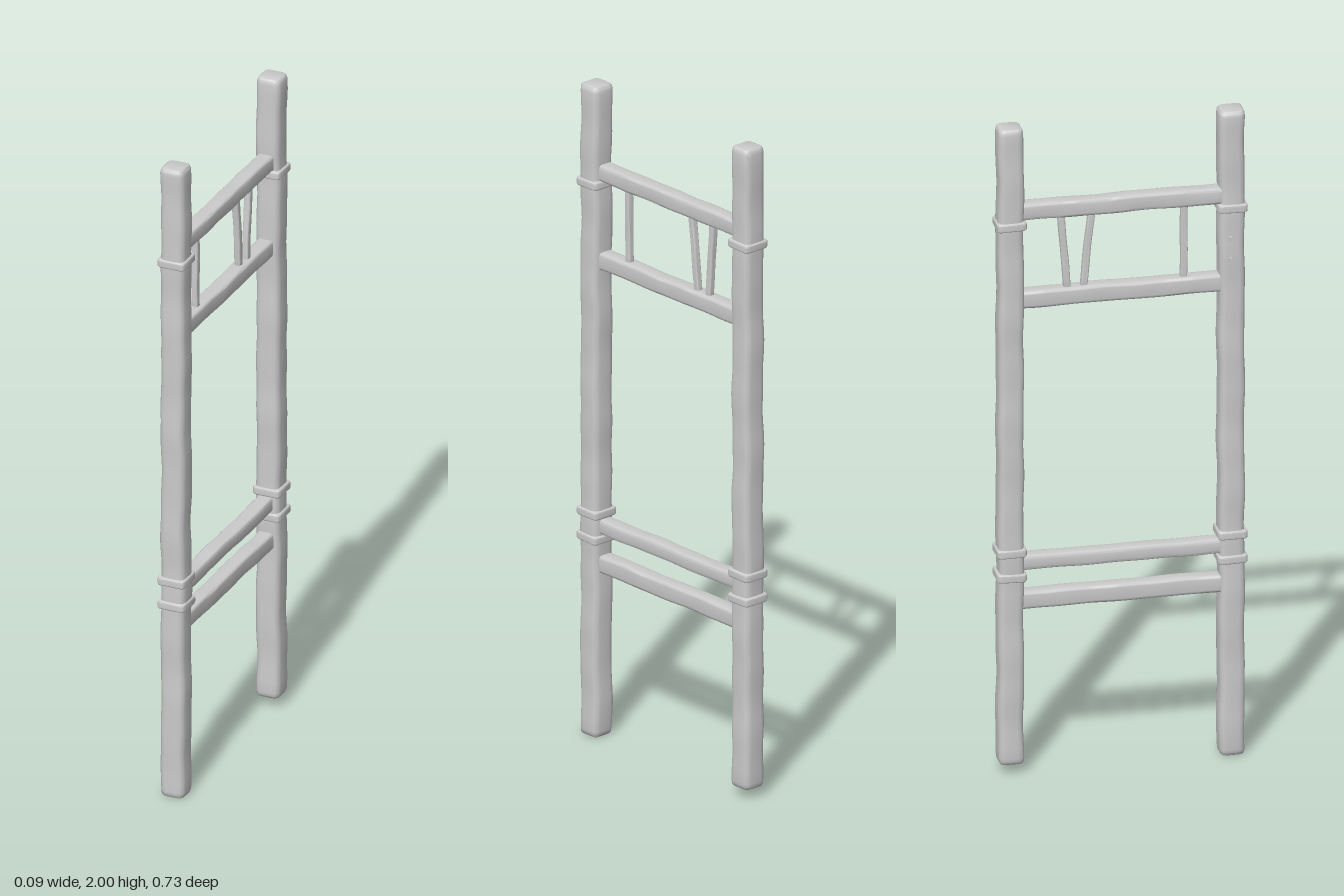
import * as THREE from 'three';
import { mergeVertices, toCreasedNormals } from 'three/addons/utils/BufferGeometryUtils.js';

const material = new THREE.MeshStandardMaterial({ color: 0xcccccc, roughness: 0.9 });

// Rounded rectangle centred on the origin
function roundedSection(w, h, r) {
  const s = new THREE.Shape();
  const x = w / 2, y = h / 2;
  s.moveTo(-x + r, -y);
  s.lineTo(x - r, -y).quadraticCurveTo(x, -y, x, -y + r);
  s.lineTo(x, y - r).quadraticCurveTo(x, y, x - r, y);
  s.lineTo(-x + r, y).quadraticCurveTo(-x, y, -x, y - r);
  s.lineTo(-x, -y + r).quadraticCurveTo(-x, -y, -x + r, -y);
  return s;
}

// Hand-hewn timber along z, centred, with worn ends and slightly wavy faces
function timber(w, h, length, { radius = 0.012, bevel = 0.008, end = 0.015, steps = 30, wear = 0.0015, seed = 0 } = {}) {
  let geo = new THREE.ExtrudeGeometry(roundedSection(w - 2 * bevel, h - 2 * bevel, radius), {
    depth: length - 2 * end, steps, curveSegments: 3,
    bevelEnabled: true, bevelSize: bevel, bevelThickness: end, bevelSegments: 3,
  });
  geo.translate(0, 0, end - length / 2);
  geo.deleteAttribute('uv');
  geo.deleteAttribute('normal');
  geo = mergeVertices(geo, 1e-5);
  const p = geo.attributes.position;
  for (let i = 0; i < p.count; i++) {
    const x = p.getX(i), y = p.getY(i), z = p.getZ(i);
    const a = Math.sin(z * 17 + seed) + 0.6 * Math.sin(z * 43 + x * 60 + seed * 2.3);
    const b = Math.sin(z * 21 + seed * 1.7) + 0.6 * Math.sin(z * 37 + y * 60 + seed);
    p.setXYZ(i, x + wear * a * 0.7, y + wear * b * 0.7, z);
  }
  return toCreasedNormals(geo, 0.7);
}

function addPart(group, name, geo, x, y, z) {
  const mesh = new THREE.Mesh(geo, material);
  mesh.name = name;
  mesh.position.set(x, y, z);
  group.add(mesh);
  return mesh;
}

export function createModel() {
  const model = new THREE.Group();
  model.name = 'timberFrame';

  // Two square posts, the back one a little shorter at the foot
  const posts = [
    { name: 'front', z: 0.323, bottom: 0, seed: 1 },
    { name: 'back', z: -0.323, bottom: 0.03, seed: 4 },
  ];
  for (const { name, z, bottom, seed } of posts) {
    const length = 2 - bottom;
    const geo = timber(0.074, 0.074, length, { end: 0.018, steps: 60, wear: 0.002, seed });
    geo.rotateX(-Math.PI / 2);
    addPart(model, name + 'Post', geo, 0, bottom + length / 2, z);

    // Bands wrapped around each post
    [1.7, 0.686, 0.61].forEach((y, i) => {
      const band = timber(0.087, 0.087, 0.026, { radius: 0.006, bevel: 0.007, end: 0.008, steps: 1, wear: 0.0005, seed: i });
      band.rotateX(-Math.PI / 2);
      const mesh = addPart(model, name + 'Band', band, 0, y, z);
      mesh.rotation.x = 0.03 * Math.sin(i * 2 + seed);
    });
  }

  // Horizontal rails: [centre height, thickness]
  const rails = [[1.737, 0.05], [1.466, 0.052], [0.649, 0.044], [0.533, 0.053]];
  rails.forEach(([y, h], i) => {
    addPart(model, 'rail', timber(0.048, h, 0.61, { radius: 0.006, bevel: 0.004, end: 0.006, wear: 0.0012, seed: i * 2 }), -0.003, y, 0);
  });

  // Thin spindles between the upper rails: [bottom z, top z]
  const spindles = [[0.184, 0.187], [-0.109, -0.084], [-0.156, -0.174]];
  spindles.forEach(([z0, z1], i) => {
    const from = new THREE.Vector3(-0.003, 1.48, z0), to = new THREE.Vector3(-0.003, 1.725, z1);
    const geo = timber(0.02, 0.021, from.distanceTo(to), { radius: 0.003, bevel: 0.003, end: 0.004, steps: 10, wear: 0.001, seed: i });
    const mesh = addPart(model, 'spindle', geo, 0, 0, 0);
    mesh.position.copy(from).lerp(to, 0.5);
    mesh.lookAt(to);
  });

  // Small splinters on the side of the front post
  for (const y of [1.61, 1.545]) {
    addPart(model, 'splinter', new THREE.BoxGeometry(0.012, 0.012, 0.008), -0.041, y, 0.314);
  }

  return model;
}
